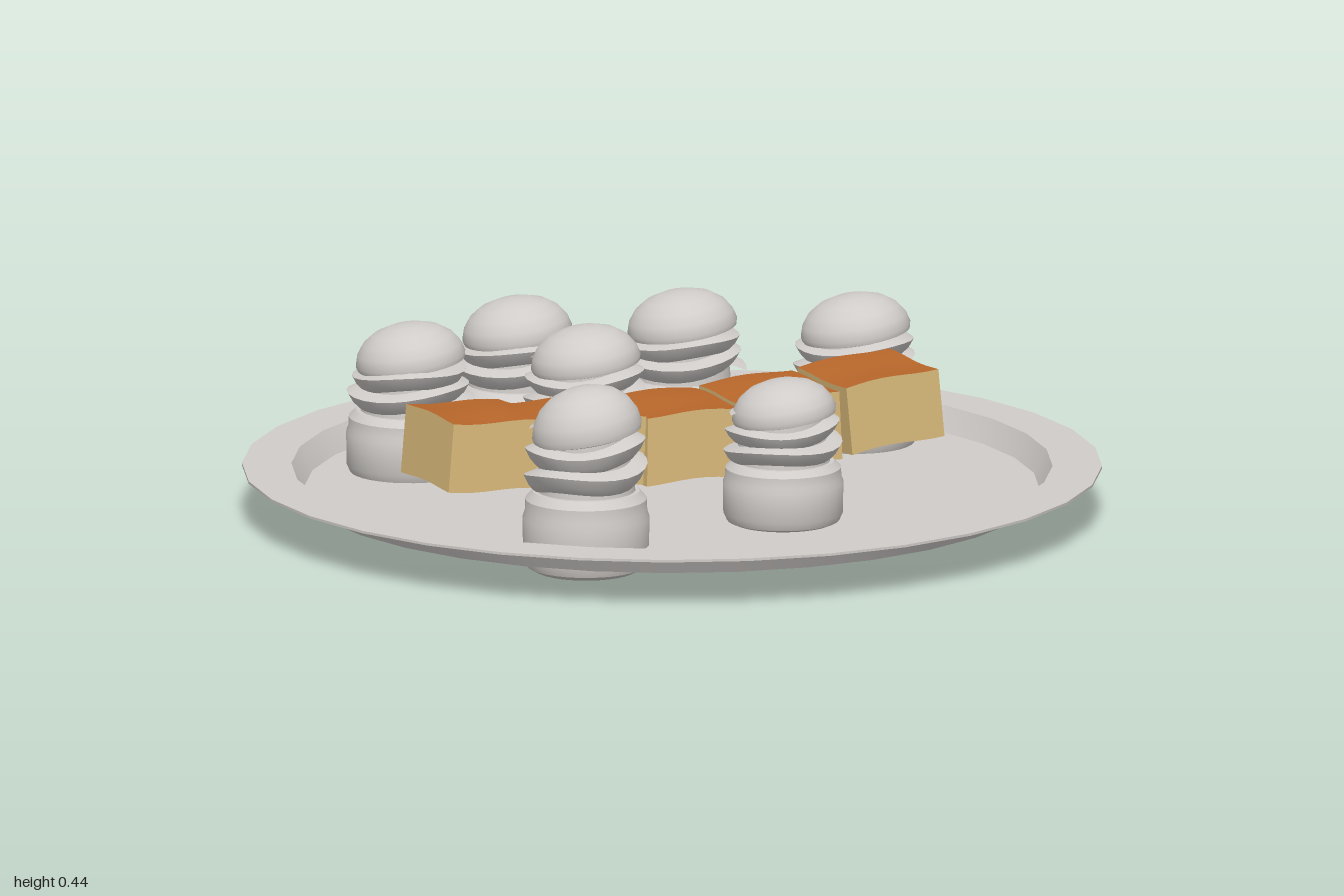
import * as THREE from 'three';
import { toCreasedNormals } from 'three/addons/utils/BufferGeometryUtils.js';

const material = (name, color) => {
  const m = new THREE.MeshStandardMaterial({ color });
  m.name = name;
  return m;
};

const part = (name, geometry, mat) => {
  const mesh = new THREE.Mesh(geometry, mat);
  mesh.name = name;
  return mesh;
};

const lathe = (points, segments, crease = 0.6) =>
  toCreasedNormals(new THREE.LatheGeometry(points.map(p => new THREE.Vector2(...p)), segments), crease);

// A sharp-lipped ribbon of icing that winds upward and narrows
function swirlGeometry() {
  const section = [[0.085, 0], [0.125, 0.008], [0.14, 0.022], [0.152, 0.042], [0.13, 0.05], [0.08, 0.06]];
  const steps = 60, turns = 2.4, n = section.length;
  const positions = [], indices = [];
  for (let i = 0; i <= steps; i++) {
    const k = i / steps, t = k * turns * Math.PI * 2;
    const narrow = 1 - 0.14 * k + 0.025 * Math.sin(t * 1.7);
    const lift = 0.132 + 0.105 * k + 0.006 * Math.sin(t * 2.3);
    section.forEach(([r, y], j) => {
      positions.push(r * narrow * Math.sin(t), y + lift, r * narrow * Math.cos(t));
      if (i < steps && j < n - 1) {
        const a = i * n + j, b = a + n;
        indices.push(a, b, a + 1, b + 1, a + 1, b);
      }
    });
  }
  const g = new THREE.BufferGeometry();
  g.setAttribute('position', new THREE.Float32BufferAttribute(positions, 3));
  g.setIndex(indices);
  return toCreasedNormals(g, 0.7);
}

// Box with a gently wavy top and bottom
function sliceGeometry(w, h, d, phase) {
  const g = new THREE.BoxGeometry(w, h, d, 8, 1, 8);
  const p = g.attributes.position;
  for (let i = 0; i < p.count; i++) {
    const x = p.getX(i) / w, z = p.getZ(i) / d;
    p.setY(i, p.getY(i) + 0.005 * Math.sin(x * 5 + phase) + 0.003 * Math.cos(z * 6 + phase));
  }
  g.computeVertexNormals();
  return g;
}

export function createModel() {
  const model = new THREE.Group();
  model.name = 'dessertPlatter';
  const porcelain = material('paleGrey', 0xd0ccc9);
  const sponge = material('spongeCream', 0xdcbc7c);
  const glaze = material('caramelGlaze', 0xb8672a);

  // Platter with a flat rim and a shallow sunken floor
  const platter = part('platter', lathe([
    [0, 0.055], [0.86, 0.055], [0.895, 0.11], [1, 0.112], [1, 0.118],
    [0.885, 0.118], [0.855, 0.063], [0, 0.063],
  ], 32, 0.4), porcelain);
  platter.rotation.y = Math.PI / 32;
  model.add(platter);

  // Shared cupcake parts
  const base = lathe([
    [0, 0], [0.118, 0.001], [0.138, 0.01], [0.147, 0.03], [0.148, 0.105], [0.143, 0.118],
    [0.142, 0.142], [0.125, 0.158], [0, 0.16],
  ], 32);
  const core = new THREE.CylinderGeometry(0.1, 0.118, 0.17, 24);
  const swirl = swirlGeometry();
  const dome = lathe([
    [0, 0], [0.095, -0.004], [0.126, 0.004], [0.129, 0.016], [0.122, 0.04],
    [0.105, 0.064], [0.078, 0.083], [0.042, 0.095], [0, 0.099],
  ], 32, 1);

  // x, z, bottom, height scale, width scale
  const cupcakes = [
    [-0.46, -0.44, 0.051, 1, 1],
    [-0.115, -0.57, 0.051, 1, 1],
    [0.26, -0.46, 0.051, 1, 1],
    [0.6, -0.24, 0.051, 1, 1],
    [-0.11, -0.23, 0.051, 1, 1],
    [-0.445, 0.43, 0, 1.21, 1],
    [0.07, 0.43, 0.059, 0.945, 0.95],
  ];
  cupcakes.forEach(([x, z, y, tall, wide], i) => {
    const cake = new THREE.Group();
    cake.name = 'cupcake' + (i + 1);
    const coreMesh = part('icingCore', core, porcelain);
    coreMesh.position.y = 0.215;
    const icing = part('icingSwirl', swirl, porcelain);
    icing.rotation.y = 0.5 + i * 0.25;
    const cap = part('icingDome', dome, porcelain);
    cap.position.set(0.008, 0.261, -0.006);
    cap.rotation.set(-0.05, 0, 0.13);
    cake.add(part('cupcakeBase', base, porcelain), coreMesh, icing, cap);
    cake.position.set(x, y, z);
    cake.scale.set(wide, tall, wide);
    model.add(cake);
  });

  // Row of cake slices bending up at both ends: x, y, tilt
  const slices = [
    [-0.562, 0.241, -0.085],
    [-0.3, 0.22, -0.05],
    [-0.047, 0.21, -0.015],
    [0.213, 0.217, 0.05],
    [0.475, 0.236, 0.1],
  ];
  const faces = [sponge, sponge, glaze, glaze, sponge, sponge];
  slices.forEach(([x, y, tilt], i) => {
    const slice = part('cakeSlice' + (i + 1), sliceGeometry(0.243, 0.162, 0.243, i * 0.6), faces);
    slice.position.set(x, y, 0.087);
    slice.rotation.set(0, 0.015 * Math.sin(i * 2), tilt);
    model.add(slice);
  });

  return model;
}
